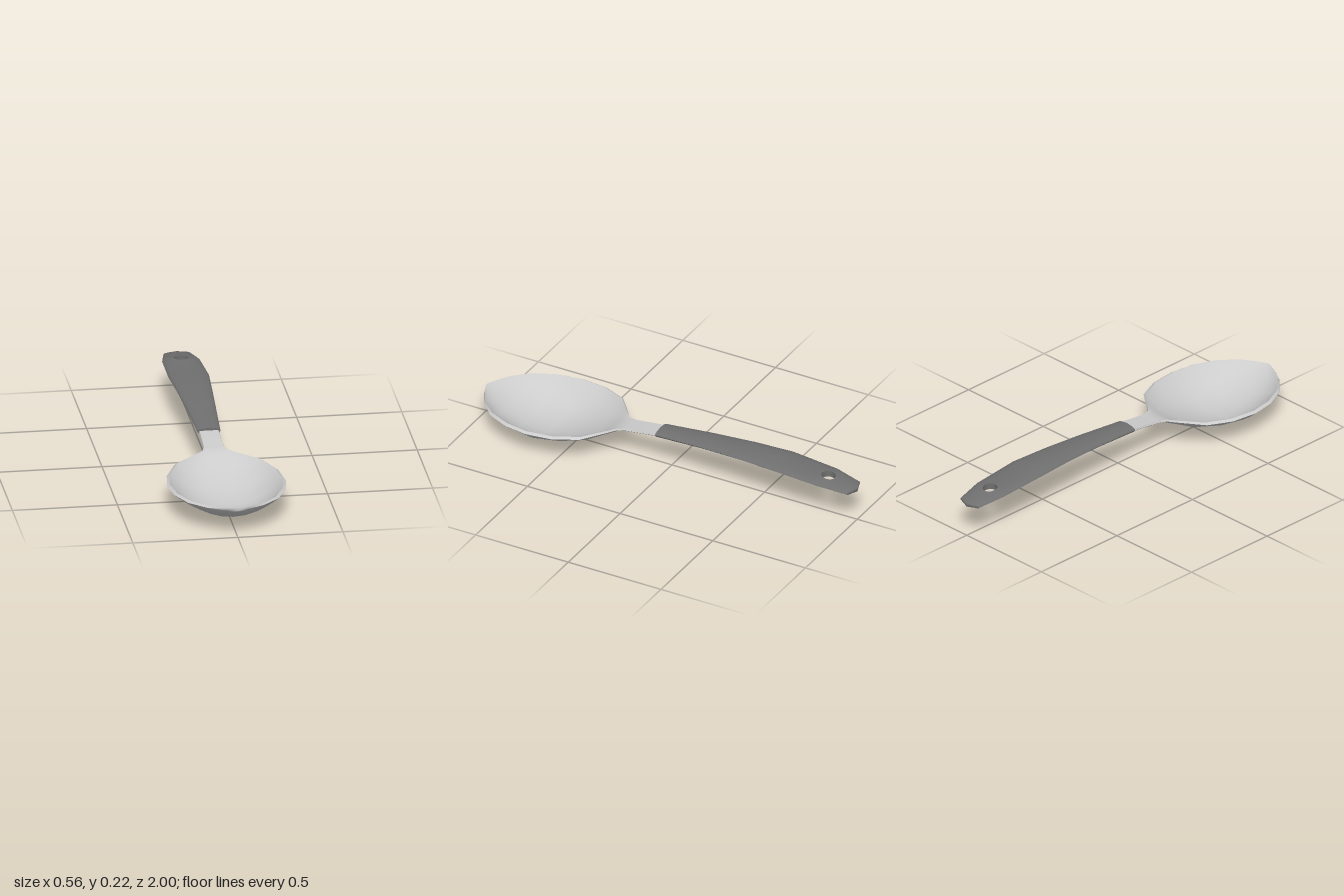
import * as THREE from 'three';
import { toCreasedNormals, mergeGeometries } from 'three/addons/utils/BufferGeometryUtils.js';

// Skin a row of counterclockwise rings (ordered by rising z) and cap both ends.
function loft(rings, skip = () => false) {
  const n = rings[0].length, last = rings.length - 1;
  const pos = rings.flat(2), idx = [];
  for (let i = 0; i < last; i++) {
    for (let j = 0; j < n; j++) {
      if (skip(i, j)) continue;
      const k = (j + 1) % n;
      const a = i * n + j, b = i * n + k, c = b + n, d = a + n;
      idx.push(a, b, d, b, c, d);
    }
  }
  for (let j = 1; j < n - 1; j++) {
    idx.push(0, j + 1, j);
    idx.push(last * n, last * n + j, last * n + j + 1);
  }
  const g = new THREE.BufferGeometry();
  g.setAttribute('position', new THREE.Float32BufferAttribute(pos, 3));
  g.setIndex(idx);
  return g;
}

// Mirror a geometry across x = 0, keeping faces outward.
function mirrorX(g) {
  const m = g.clone().scale(-1, 1, 1);
  const index = Array.from(m.index.array);
  for (let i = 0; i < index.length; i += 3) [index[i], index[i + 1]] = [index[i + 1], index[i]];
  m.setIndex(index);
  return m;
}

// Metal neck and bowl in one loft: z, half width, rim y, outer depth, inner depth, roundness
const BOWL = [
  [0.00, 0.048, 0.176, 0.010, 0, 6],
  [0.06, 0.048, 0.172, 0.010, 0, 6],
  [0.15, 0.049, 0.161, 0.010, 0, 6],
  [0.22, 0.051, 0.153, 0.010, 0, 5],
  [0.26, 0.064, 0.150, 0.013, 0.003, 4],
  [0.29, 0.100, 0.147, 0.025, 0.013, 3],
  [0.325, 0.145, 0.145, 0.039, 0.029, 2.5],
  [0.38, 0.212, 0.141, 0.062, 0.054, 2.2],
  [0.50, 0.266, 0.136, 0.098, 0.090, 2.1],
  [0.635, 0.282, 0.134, 0.131, 0.120, 2],
  [0.75, 0.264, 0.134, 0.112, 0.103, 2],
  [0.86, 0.215, 0.135, 0.082, 0.074, 2],
  [0.94, 0.133, 0.136, 0.041, 0.034, 2],
  [0.98, 0.058, 0.138, 0.016, 0.010, 2],
  [1.00, 0.006, 0.139, 0.004, 0, 2],
];

function bowlGeometry() {
  const half = [0, 0.25, 0.5, 0.7, 0.86, 0.96, 1];
  const across = [...half.slice(1).reverse().map((f) => -f), ...half];
  const rings = BOWL.map(([z, w, y, outer, inner, p]) => {
    const bottom = across.map((f) => [f * w, y - outer * (1 - Math.abs(f) ** p), z]);
    const top = [...across].reverse().map((f) => [
      f * Math.max(w * 0.93, w - 0.014), y + 0.009 - inner * (1 - Math.abs(f) ** (p + 0.4)), z]);
    return [...bottom, ...top];
  });
  return toCreasedNormals(loft(rings), 0.9);
}

// Grip stations: z, half width, bottom y, top y
const GRIP = [
  [-1.00, 0.006, 0.157, 0.173],
  [-0.98, 0.064, 0.157, 0.180],
  [-0.845, 0.090, 0.171, 0.201],
  [-0.60, 0.097, 0.188, 0.220],
  [-0.40, 0.084, 0.188, 0.220],
  [-0.20, 0.071, 0.181, 0.212],
  [0.06, 0.055, 0.161, 0.195],
];
const HOLE_Z = -0.845, HOLE_R = 0.034, HOLE_STEPS = 10;

function gripAt(z) {
  let i = 0;
  while (i < GRIP.length - 2 && z > GRIP[i + 1][0]) i++;
  const t = (z - GRIP[i][0]) / (GRIP[i + 1][0] - GRIP[i][0]);
  return GRIP[i].map((v, k) => THREE.MathUtils.lerp(v, GRIP[i + 1][k], t));
}

// One half of the grip, opened along its inner edge where the hanging hole passes.
function gripGeometry() {
  const stations = GRIP.filter((s) => s[0] !== HOLE_Z).map(([z]) => ({ z, h: 0 }));
  for (let k = 0; k <= HOLE_STEPS; k++) {
    const a = Math.PI * k / HOLE_STEPS;
    const h = k % HOLE_STEPS === 0 ? 0 : HOLE_R * Math.sin(a);
    stations.push({ z: HOLE_Z - HOLE_R * Math.cos(a), h });
  }
  stations.sort((a, b) => a.z - b.z);
  const rings = stations.map(({ z, h }) => {
    const [, w, y0, y1] = gripAt(z), t = y1 - y0;
    return [
      [h, y0, z],
      [w * 0.65, y0 + t * 0.06, z],
      [w * 0.88, y0 + t * 0.2, z],
      [w, y0 + t * 0.45, z],
      [w * 0.97, y0 + t * 0.6, z],
      [w * 0.89, y1 - t * 0.27, z],
      [w * 0.6, y1 - t * 0.12, z],
      [h, y1, z],
    ];
  });
  const closed = (i, j) => j === 7 && stations[i].h === 0 && stations[i + 1].h === 0;
  const half = loft(rings, closed);
  return toCreasedNormals(mergeGeometries([half, mirrorX(half)]), 0.8);
}

export function createModel() {
  const model = new THREE.Group();
  model.name = 'spoon';
  const add = (name, geometry, color) => {
    const mesh = new THREE.Mesh(geometry, new THREE.MeshStandardMaterial({ color }));
    mesh.name = name;
    model.add(mesh);
  };
  add('bowlAndNeck', bowlGeometry(), 0xcccccc);
  add('handleGrip', gripGeometry(), 0x707070);
  return model;
}
